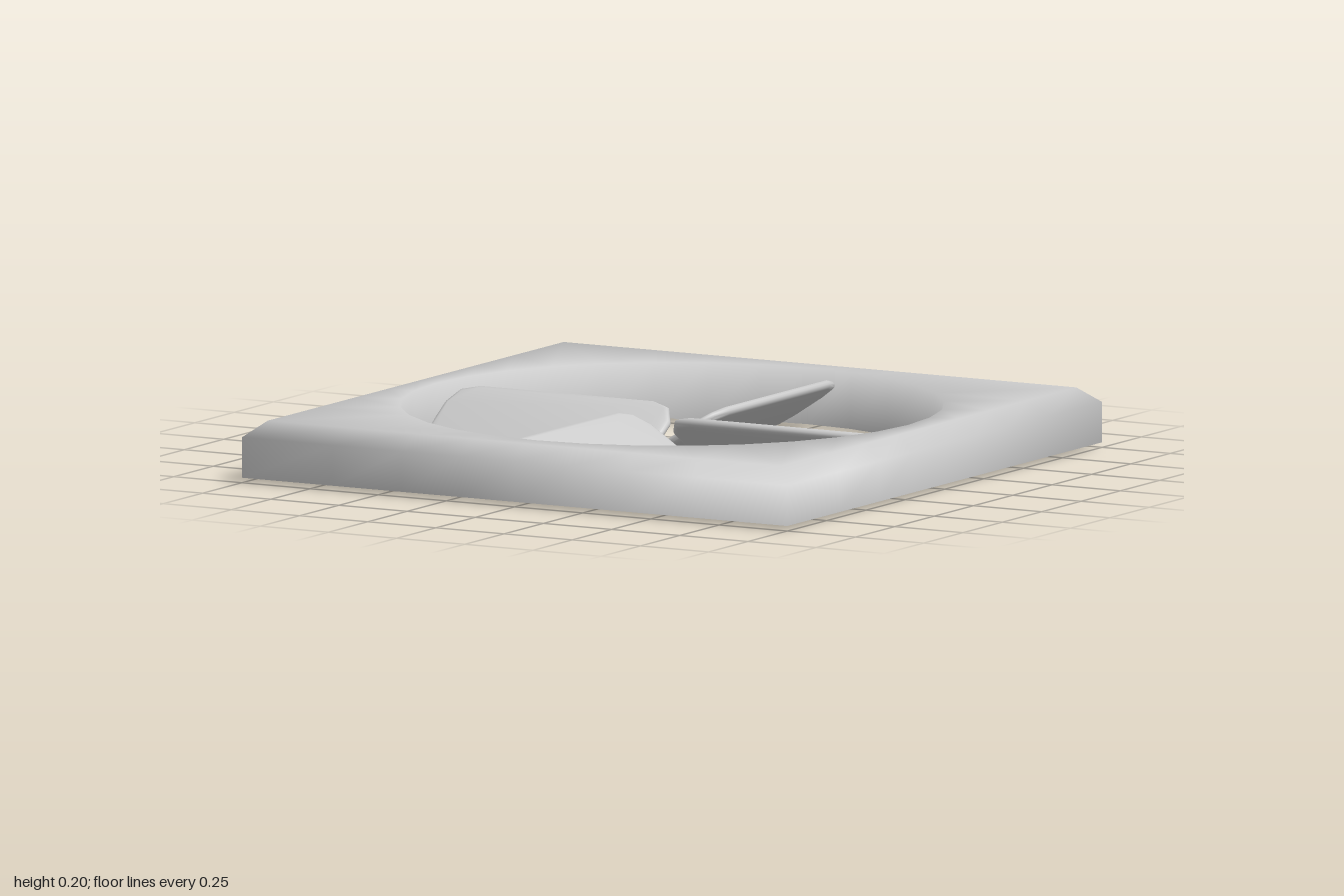
import * as THREE from 'three';
import { toCreasedNormals } from 'three/addons/utils/BufferGeometryUtils.js';

const SIDES = 32;

// Thin open shell: square rim, chamfer, top plate and round duct, as loops
function frameGeometry() {
  // size, y, square?, outward tilt and upward tilt of the smooth normal
  const loops = [
    { size: 1, y: 0.02, square: true, out: 1, up: 0 },
    { size: 1, y: 0.15, square: true, out: 1, up: 0.5 },
    { size: 0.94, y: 0.2, square: true, out: 0.35, up: 1 },
    { size: 0.865, y: 0.2, square: false, out: -0.45, up: 1 },
    { size: 0.858, y: 0.02, square: false, out: -1, up: 0 },
  ];
  const positions = [], normals = [], index = [];
  const n = new THREE.Vector3();
  loops.forEach((l, k) => {
    for (let i = 0; i <= SIDES; i++) {
      const a = (i / SIDES) * Math.PI * 2;
      const c = Math.cos(a), s = Math.sin(a);
      const r = l.square ? 1 / Math.max(Math.abs(c), Math.abs(s)) : 1;
      positions.push(c * r * l.size, l.y, s * r * l.size);
      n.set(c * r * l.out, l.up, s * r * l.out).normalize();
      normals.push(n.x, n.y, n.z);
      if (k < loops.length - 1 && i < SIDES) {
        const p = k * (SIDES + 1) + i, q = p + SIDES + 1;
        index.push(p, q, p + 1, p + 1, q, q + 1);
      }
    }
  });
  const g = new THREE.BufferGeometry();
  g.setAttribute('position', new THREE.Float32BufferAttribute(positions, 3));
  g.setAttribute('normal', new THREE.Float32BufferAttribute(normals, 3));
  g.setIndex(index);
  return g;
}

// Flat paddle with cut corners and bevelled edges, pitched about its length
function bladeGeometry() {
  const bevel = 0.015;
  const half = [
    [0.055, 0.06], [0.085, 0.115], [0.14, 0.135],
    [0.77, 0.135], [0.825, 0.115], [0.848, 0.06],
  ];
  const outline = [...half.map(([x, y]) => [x, -y]), ...half.slice().reverse()];
  const shape = new THREE.Shape(outline.map(([x, y]) => new THREE.Vector2(x, y)));
  const g = new THREE.ExtrudeGeometry(shape, {
    depth: 0.008, bevelEnabled: true, bevelSize: bevel, bevelThickness: 0.011, bevelSegments: 2,
  });
  g.translate(0, 0, -0.004);
  g.rotateX(0.995);
  g.translate(0, 0.093, 0.005);
  return toCreasedNormals(g, 0.9);
}

export function createModel() {
  const model = new THREE.Group();
  model.name = 'ventilationFan';

  const shellMaterial = new THREE.MeshStandardMaterial({ color: 0xcccccc, side: THREE.DoubleSide });
  const bladeMaterial = new THREE.MeshStandardMaterial({ color: 0xcccccc });

  const frame = new THREE.Mesh(frameGeometry(), shellMaterial);
  frame.name = 'frame';
  model.add(frame);

  // Four blades meeting around the open centre
  const blades = new THREE.Group();
  blades.name = 'blades';
  const geometry = bladeGeometry();
  for (let i = 0; i < 4; i++) {
    const blade = new THREE.Mesh(geometry, bladeMaterial);
    blade.name = `blade${i + 1}`;
    blade.rotation.y = (i * Math.PI) / 2;
    blades.add(blade);
  }
  model.add(blades);
  return model;
}
